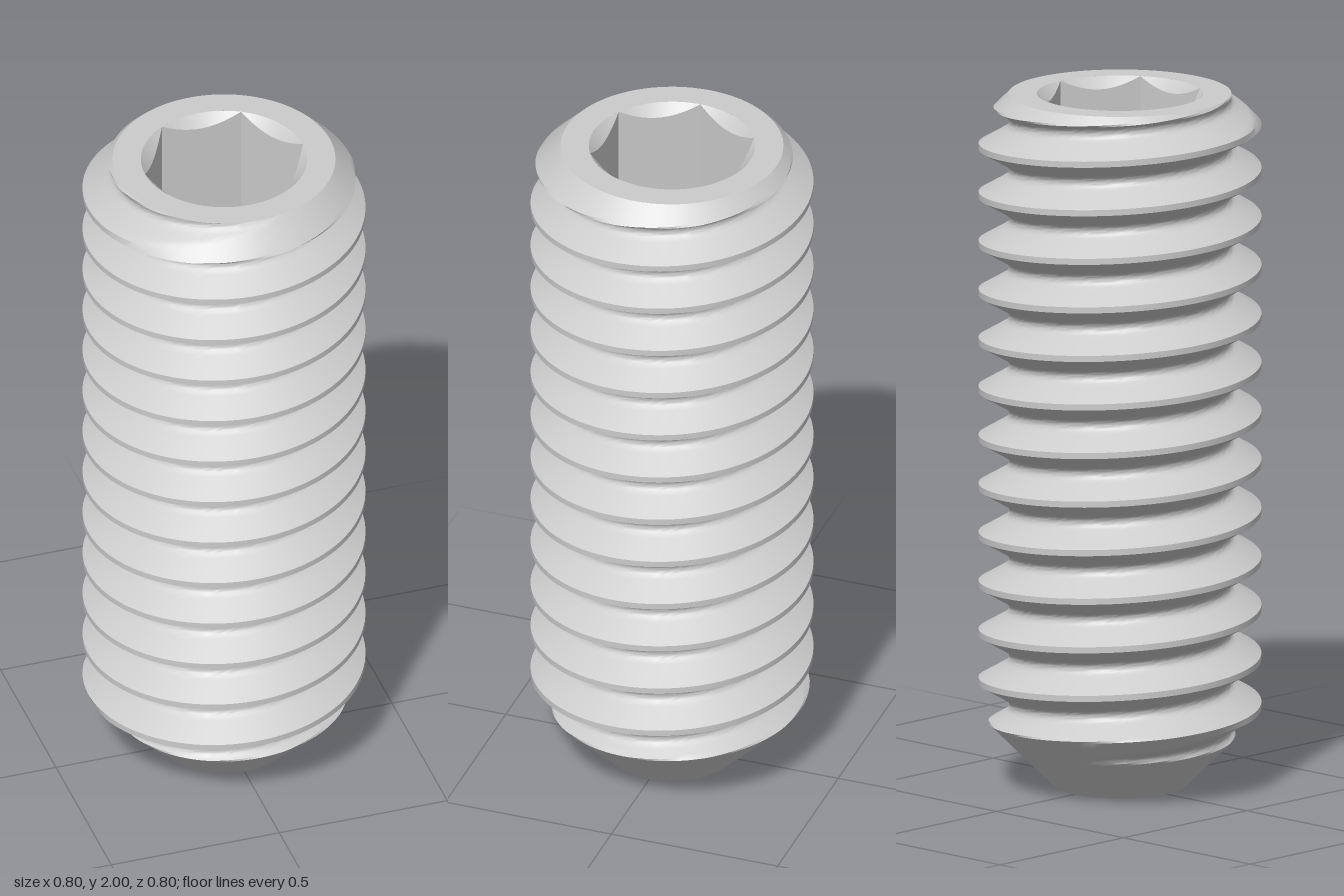
import * as THREE from 'three';
import { toCreasedNormals } from 'three/addons/utils/BufferGeometryUtils.js';

const HEIGHT = 2, PITCH = 0.1405, CREST_R = 0.4;
const CREST_Y = 0.25;                      // height of a crest on the +z side
const TOP_R = 0.315, TIP_R = 0.187;        // end radii of the 45 degree chamfers
const HEX_R = 0.235, HEX_FLAT = HEX_R * Math.cos(Math.PI / 6), SOCKET_DEPTH = 0.4;
const CUP_DEPTH = 0.11;

// 60 degree thread: flat crest, straight flanks, rounded root
const SLOPE = Math.sqrt(3), CREST_HALF = PITCH / 16, ROOT_ROUND = 0.144 * PITCH;
const ARC_HALF = ROOT_ROUND * Math.cos(Math.PI / 6);
const V_R = CREST_R - (PITCH / 2 - CREST_HALF) * SLOPE;

function threadRadius(d) {                 // d: axial distance from the crest centre
  const s = PITCH / 2 - Math.abs(d);
  if (s < ARC_HALF) return V_R + 2 * ROOT_ROUND - Math.sqrt(ROOT_ROUND ** 2 - s * s);
  return Math.min(CREST_R, V_R + s * SLOPE);
}

// Axial sample offsets over one pitch, starting at a crest edge
function pitchSamples() {
  const flankEnd = PITCH / 2 - ARC_HALF, out = [];
  const span = (a, b, n) => { for (let i = 0; i < n; i++) out.push(a + (b - a) * i / n); };
  span(-CREST_HALF, CREST_HALF, 1);
  span(CREST_HALF, flankEnd, 8);
  span(flankEnd, PITCH - flankEnd, 6);
  span(PITCH - flankEnd, PITCH - CREST_HALF, 8);
  return out;
}

// Skin a list of columns of points, leaving out collapsed triangles
function skin(columns, crease) {
  const pos = [], ab = new THREE.Vector3(), ac = new THREE.Vector3();
  const tri = (a, b, c) => {
    ab.subVectors(b, a);
    ac.subVectors(c, a);
    if (ab.cross(ac).length() > 1e-9) for (const p of [a, b, c]) pos.push(p.x, p.y, p.z);
  };
  for (let i = 0; i < columns.length - 1; i++) {
    const L = columns[i], R = columns[i + 1];
    for (let j = 0; j < L.length - 1; j++) {
      tri(L[j], R[j], R[j + 1]);
      tri(L[j], R[j + 1], L[j + 1]);
    }
  }
  const geo = new THREE.BufferGeometry();
  geo.setAttribute('position', new THREE.Float32BufferAttribute(pos, 3));
  return toCreasedNormals(geo, crease);
}

const polar = (r, y, t) => new THREE.Vector3(r * Math.sin(t), y, r * Math.cos(t));

// Helical body, trimmed by the chamfers at both ends
function threadGeometry(segments = 120) {
  const samples = pitchSamples(), columns = [];
  for (let i = 0; i <= segments; i++) {
    const t = i / segments * Math.PI * 2, col = [];
    for (let k = -3; k <= 13; k++) {
      for (const d of samples) {
        const y = THREE.MathUtils.clamp(CREST_Y + (k + i / segments) * PITCH + d, 0, HEIGHT);
        const r = threadRadius(d > PITCH / 2 ? d - PITCH : d);
        col.push(polar(Math.min(r, TIP_R + y, TOP_R + HEIGHT - y), y, t));
      }
    }
    columns.push(col);
  }
  return skin(columns, 0.45);
}

// Round countersink running into a hexagonal hole, corners on the x axis
function socketGeometry(segments = 96) {
  const columns = [], step = Math.PI / 3;
  for (let i = 0; i <= segments; i++) {
    const t = i / segments * Math.PI * 2;
    const r = HEX_FLAT / Math.cos(((t + step / 2) % step) - step / 2);
    columns.push([
      polar(HEX_R, HEIGHT, t),
      polar(r, HEIGHT - (HEX_R - r), t),
      polar(r, HEIGHT - SOCKET_DEPTH, t),
    ]);
  }
  return skin(columns, 0.45);
}

export function createModel() {
  const group = new THREE.Group();
  group.name = 'setScrew';
  const material = new THREE.MeshStandardMaterial({ color: 0xcccccc });
  const add = (name, geometry, y = 0) => {
    const mesh = new THREE.Mesh(geometry, material);
    mesh.name = name;
    mesh.position.y = y;
    group.add(mesh);
  };

  add('threadedBody', threadGeometry());
  add('topRim', new THREE.RingGeometry(HEX_R, TOP_R, 120).rotateX(-Math.PI / 2), HEIGHT);
  add('hexSocket', socketGeometry());
  add('socketFloor', new THREE.CircleGeometry(HEX_R, 6).rotateX(-Math.PI / 2), HEIGHT - SOCKET_DEPTH);

  // Conical cup hollowed into the tip
  add('cupPoint', new THREE.LatheGeometry(
    [new THREE.Vector2(0, CUP_DEPTH), new THREE.Vector2(TIP_R, 0)], 120));
  return group;
}
